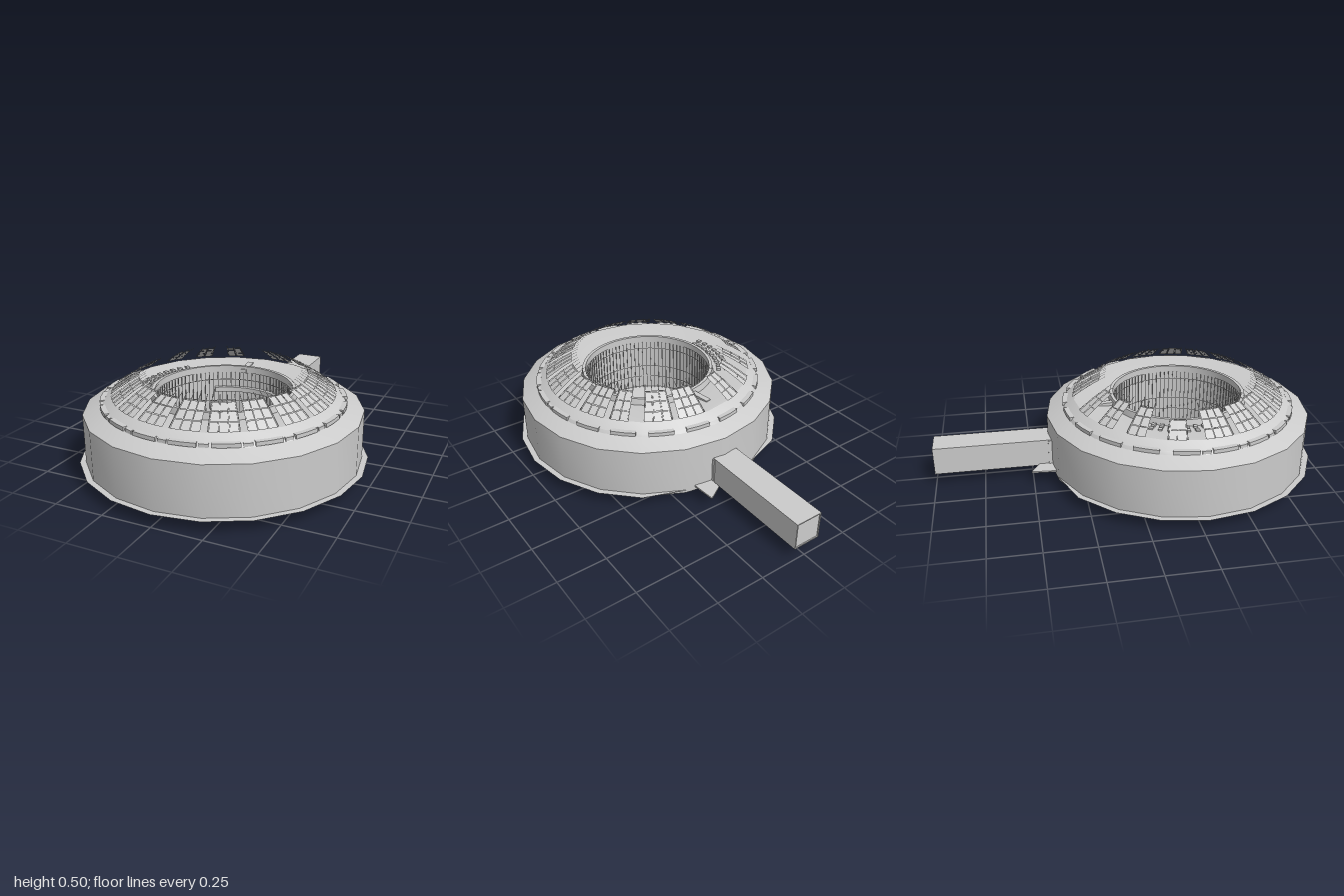
import * as THREE from 'three';
import { mergeGeometries, toCreasedNormals } from 'three/addons/utils/BufferGeometryUtils.js';

const RAD = Math.PI / 180;
const CZ = 0.28; // centre of the round hall
const mat = new THREE.MeshStandardMaterial({ color: 0xcccccc, side: THREE.DoubleSide });

// revolve [radius, height] points; angles in degrees, 0 = front, 90 = +x
function revolve(points, start = 0, length = 360, segments = 20) {
  const g = new THREE.LatheGeometry(points.map(p => new THREE.Vector2(...p)), segments, start * RAD, length * RAD);
  return toCreasedNormals(g, 0.4);
}

// box placed on a circle, its depth pointing outward
function ringBox(w, h, d, r, y, deg) {
  return new THREE.BoxGeometry(w, h, d).translate(0, y, r).rotateY(deg * RAD);
}

// closed ring section of rectangular profile, with end caps
function arcBlock(r0, r1, y0, y1, start, length, segments = 2) {
  const ring = revolve([[r0, y0], [r1, y0], [r1, y1], [r0, y1], [r0, y0]], start, length, segments);
  const caps = [start, start + length].map(a => {
    const g = new THREE.PlaneGeometry(r1 - r0, y1 - y0).translate((r0 + r1) / 2, (y0 + y1) / 2, 0);
    return toCreasedNormals(g.rotateY((a - 90) * RAD), 0.4);
  });
  return mergeGeometries([ring, ...caps]);
}

// dome section, t = 0 at the outer foot and 1 at the inner tip
const dome = new THREE.CatmullRomCurve3([[0.55, 0.395], [0.497, 0.431], [0.438, 0.467], [0.375, 0.5]]
  .map(p => new THREE.Vector3(p[0], p[1], 0)));

// dome patch between two angles and two curve positions
function domePatch(a0, a1, t0, t1, lift) {
  const pts = [0, 0.5, 1].map(k => {
    const p = dome.getPoint(t0 + (t1 - t0) * k);
    return [p.x + lift * 0.5, p.y + lift];
  });
  return revolve(pts, a0, a1 - a0, 1);
}

// thin base flange with 20 sides, tapering into the wall either side of the doorway
function flangeGeometry() {
  const at = (r, deg) => new THREE.Vector2(r * Math.sin(deg * RAD), -r * Math.cos(deg * RAD));
  const outer = [], inner = [];
  for (let a = -162; a <= 162; a += 18) {
    outer.push(at(Math.abs(a) === 162 ? 0.692 : 0.72, a));
    inner.unshift(at(0.685, a));
  }
  return new THREE.ShapeGeometry(new THREE.Shape([...outer, ...inner])).rotateX(-Math.PI / 2).translate(0, 0.062, 0);
}

export function createModel() {
  const model = new THREE.Group();
  const hall = new THREE.Group();
  hall.name = 'roundHall';
  hall.position.z = CZ;
  model.add(hall);
  const add = (name, geo, parent = hall) => {
    const mesh = new THREE.Mesh(geo, mat);
    mesh.name = name;
    parent.add(mesh);
    return mesh;
  };

  // outer wall, sloping roof and deck below the dome
  add('outerWall', revolve([[0.69, 0.045], [0.69, 0.31]]));
  add('roof', revolve([[0.69, 0.31], [0.605, 0.345], [0.595, 0.36], [0.545, 0.39], [0.52, 0.39], [0.35, 0.37]]));
  add('baseFlange', flangeGeometry());

  // underside, with a shallow open bay at the back and a ramp inside the door
  add('underside', revolve([[0.69, 0.045], [0.4, 0.045]], 234, 306, 17));
  add('undersideRing', revolve([[0.43, 0.045], [0.38, 0.04], [0.335, 0.055]], 0, 360, 40));
  add('bayCeiling', revolve([[0.69, 0.067], [0.4, 0.067], [0.4, 0.045]], 180, 54, 3));
  const bayWalls = [180, 234].map(a => new THREE.PlaneGeometry(0.29, 0.022)
    .translate(0.545, 0.056, 0).rotateY((a - 90) * RAD));
  add('bayWalls', mergeGeometries(bayWalls));
  const ramp = add('entranceRamp', new THREE.BoxGeometry(0.1, 0.01, 0.14));
  ramp.position.set(-0.06, 0.058, -0.56);
  ramp.rotation.x = 0.1;

  // central well: wall, rim, dished floor
  add('wellWall', revolve([[0.345, 0.05], [0.345, 0.37]], 0, 360, 40));
  add('wellRim', revolve([[0.338, 0.37], [0.362, 0.37], [0.355, 0.405], [0.338, 0.405], [0.338, 0.37]], 0, 360, 40));
  add('wellFloor', revolve([[0.345, 0.063], [0.28, 0.063], [0.21, 0.048], [0, 0.048]], 0, 360, 32));
  add('wellLedge', arcBlock(0.318, 0.34, 0.265, 0.29, 155, 60, 8));

  // thin rods round the well, reaching below the underside, tied by hoops
  const rods = [];
  for (let i = 0; i < 90; i++) rods.push(ringBox(0.003, 0.37, 0.003, 0.334, 0.185, i * 4));
  add('wellRods', mergeGeometries(rods));
  for (const y of [0.14, 0.21, 0.33]) {
    add('wellHoop', revolve([[0.336, y - 0.002], [0.336, y + 0.002]], 0, 360, 40));
  }

  // blocks round the foot of the dome
  const blocks = [];
  for (let i = 0; i < 20; i++) {
    blocks.push(arcBlock(0.58, 0.605, 0.347, 0.366, i * 18 + 3, 12));
    if (i <= 5 || i >= 15) blocks.push(arcBlock(0.58, 0.603, 0.347, 0.363, i * 18 - 2, 4, 1));
  }
  add('domeFootBlocks', mergeGeometries(blocks));

  // dome panels: tiles in columns, with ribs running to the tips and cross bars
  const tiles = [], ribs = [];
  const rows = [[0, 0.27], [0.29, 0.54], [0.56, 0.8]];
  const w = 4.8; // degrees per column
  function domePanel(start, columns, top) {
    for (const [t0, t1] of rows.filter(r => r[1] <= top)) {
      for (let c = 0; c < columns; c++) {
        tiles.push(domePatch(start + c * w + 0.35, start + (c + 1) * w - 0.35, t0, t1, 0));
      }
      ribs.push(domePatch(start, start + columns * w, t1 - 0.002, t1 + 0.022, 0.003));
    }
    for (let c = 0; c <= columns; c++) {
      const b = start + c * w;
      ribs.push(domePatch(b - 0.25, b + 0.25, 0, top, 0.003));
    }
  }
  for (let i = 0; i < 20; i++) {
    if (i < 10 || i > 14) domePanel(i * 18 + 1, i === 7 ? 2 : 3, 1);
  }
  // narrow panels at the back right, the last one cut short
  for (const centre of [199, 218, 236]) domePanel(centre - w, 2, 1);
  domePanel(257 - w, 2, 0.56);
  add('domeTiles', mergeGeometries(tiles));
  add('domeRibs', mergeGeometries(ribs));

  // small consoles on the deck behind the narrow panels
  const consoles = [];
  for (let i = 0; i < 9; i++) {
    for (const r of [0.39, 0.43]) consoles.push(ringBox(0.02, 0.012, 0.02, r, 0.383, 234 + i * 6));
  }
  consoles.push(ringBox(0.03, 0.02, 0.14, 0.4, 0.38, 188));
  add('deckConsoles', mergeGeometries(consoles));
  const hatch = add('floorHatch', new THREE.BoxGeometry(0.07, 0.02, 0.035));
  hatch.position.set(0.14, 0.06, -0.18);
  hatch.rotation.y = -0.7;

  // entrance corridor at the back, its end slightly recessed
  const corridor = new THREE.Group();
  corridor.name = 'corridor';
  corridor.position.set(-0.0075, 0.1375, 0);
  model.add(corridor);
  for (const s of [-1, 1]) {
    add('corridorSide', new THREE.BoxGeometry(0.006, 0.145, 0.6), corridor).position.set(s * 0.0695, 0, -0.7);
    add('corridorSlab', new THREE.BoxGeometry(0.145, 0.006, 0.6), corridor).position.set(0, s * 0.0695, -0.7);
  }
  add('corridorEnd', new THREE.BoxGeometry(0.135, 0.135, 0.01), corridor).position.z = -0.99;
  add('corridorCollar', new THREE.BoxGeometry(0.155, 0.135, 0.03), corridor).position.z = -0.4;

  // low pointed fins either side of the doorway
  for (const s of [-1, 1]) {
    const fin = new THREE.Shape([[0.07, 0.38], [0.165, 0.38], [0.16, 0.45], [0.155, 0.51], [0.135, 0.5], [0.07, 0.46]]
      .map(p => new THREE.Vector2(s * p[0], p[1])));
    const g = new THREE.ExtrudeGeometry(fin, { depth: 0.008, bevelEnabled: false });
    add('doorFin', g.rotateX(-Math.PI / 2).translate(0, 0.066, 0), model);
  }
  return model;
}
